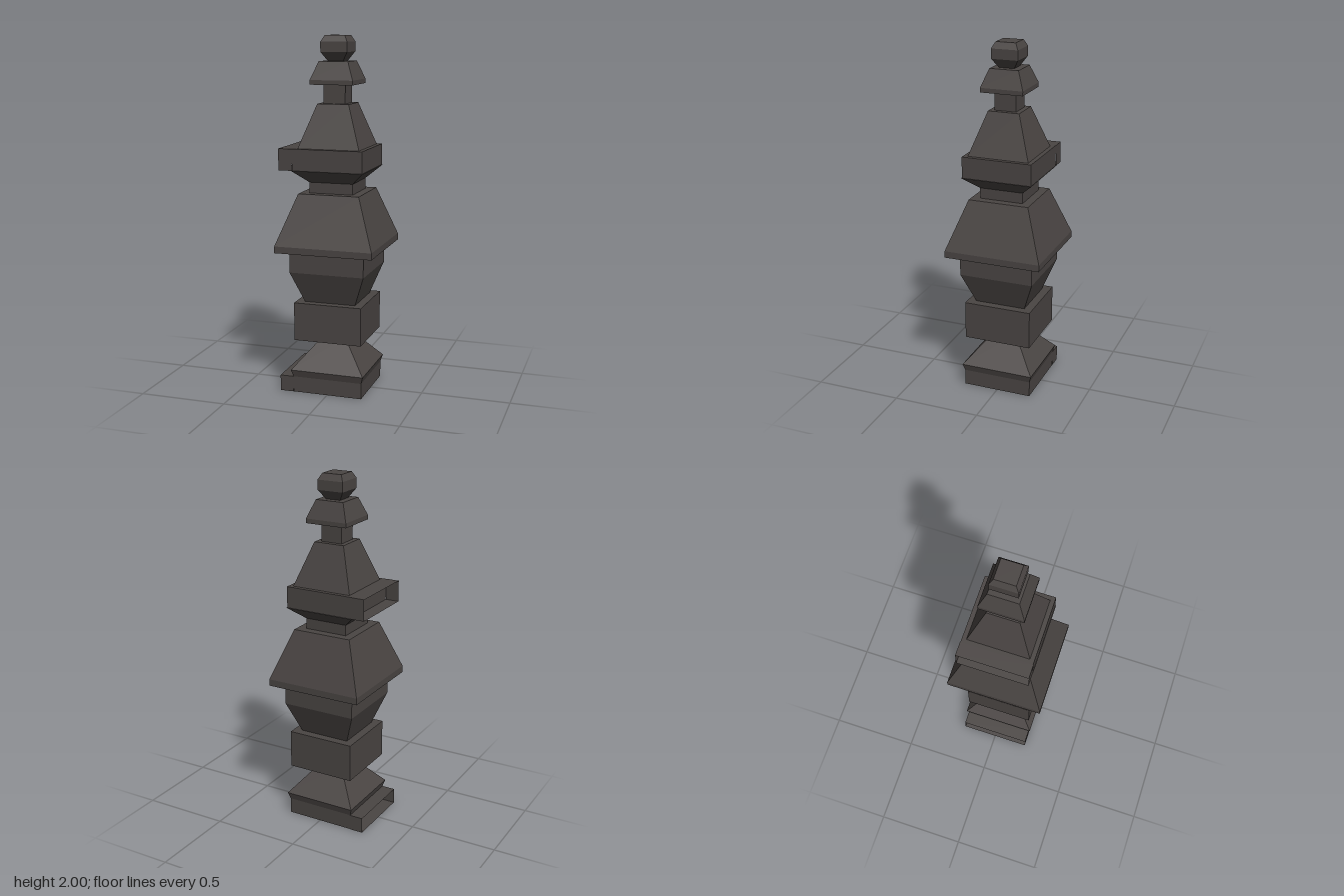
import * as THREE from 'three';

const stone = new THREE.MeshStandardMaterial({ color: 0x4a4543, side: THREE.DoubleSide });
stone.name = 'dark stone';

function addMesh(parent, geometry, name) {
  const flat = geometry.toNonIndexed();
  flat.computeVertexNormals();
  const mesh = new THREE.Mesh(flat, stone);
  mesh.name = name;
  parent.add(mesh);
  return mesh;
}

// Square frustum between two heights, given by half-widths
function frustum(parent, name, y0, half0, y1, half1) {
  const g = new THREE.CylinderGeometry(half1 * Math.SQRT2, half0 * Math.SQRT2, y1 - y0, 4);
  g.rotateY(Math.PI / 4);
  g.translate(0, (y0 + y1) / 2, 0);
  return addMesh(parent, g, name);
}

// Square slab whose -x side carries an open-ended sleeve
function socketSlab(parent, name, y0, y1) {
  const slab = new THREE.Group();
  slab.name = name;
  frustum(slab, 'slabCore', y0, 0.2, y1, 0.2);
  const g = new THREE.CylinderGeometry(Math.SQRT1_2, Math.SQRT1_2, 1, 4, 1, true);
  g.rotateY(Math.PI / 4);
  g.rotateZ(Math.PI / 2);
  g.scale(0.078, y1 - y0, 0.404);
  g.translate(-0.239, (y0 + y1) / 2, 0);
  addMesh(slab, g, 'openSleeve');
  parent.add(slab);
}

export function createModel() {
  const model = new THREE.Group();
  model.name = 'squareFinial';

  // Slabs with a hollow extension
  socketSlab(model, 'baseSlab', 0, 0.09);
  socketSlab(model, 'upperSlab', 1.27, 1.39);

  // Stacked sections: name, bottom y, half-width, top y, half-width
  const sections = [
    ['baseFlare', 0.09, 0.2, 0.13, 0.212],
    ['basePyramid', 0.13, 0.212, 0.305, 0.065],
    ['lowerBlock', 0.305, 0.195, 0.522, 0.195],
    ['urnTaper', 0.522, 0.147, 0.7, 0.214],
    ['urnRim', 0.7, 0.214, 0.82, 0.214],
    ['skirtEdge', 0.82, 0.278, 0.858, 0.278],
    ['skirt', 0.858, 0.278, 1.14, 0.174],
    ['middleNeck', 1.14, 0.125, 1.2, 0.125],
    ['slabFlare', 1.2, 0.125, 1.27, 0.204],
    ['spire', 1.39, 0.175, 1.63, 0.09],
    ['upperNeck', 1.63, 0.062, 1.735, 0.062],
    ['capEdge', 1.735, 0.122, 1.76, 0.122],
    ['cap', 1.76, 0.122, 1.86, 0.083],
    ['knobUnderside', 1.86, 0.043, 1.91, 0.076],
    ['knob', 1.91, 0.076, 1.965, 0.076],
    ['knobTop', 1.965, 0.076, 2, 0.057],
  ];
  for (const section of sections) frustum(model, ...section);

  return model;
}
